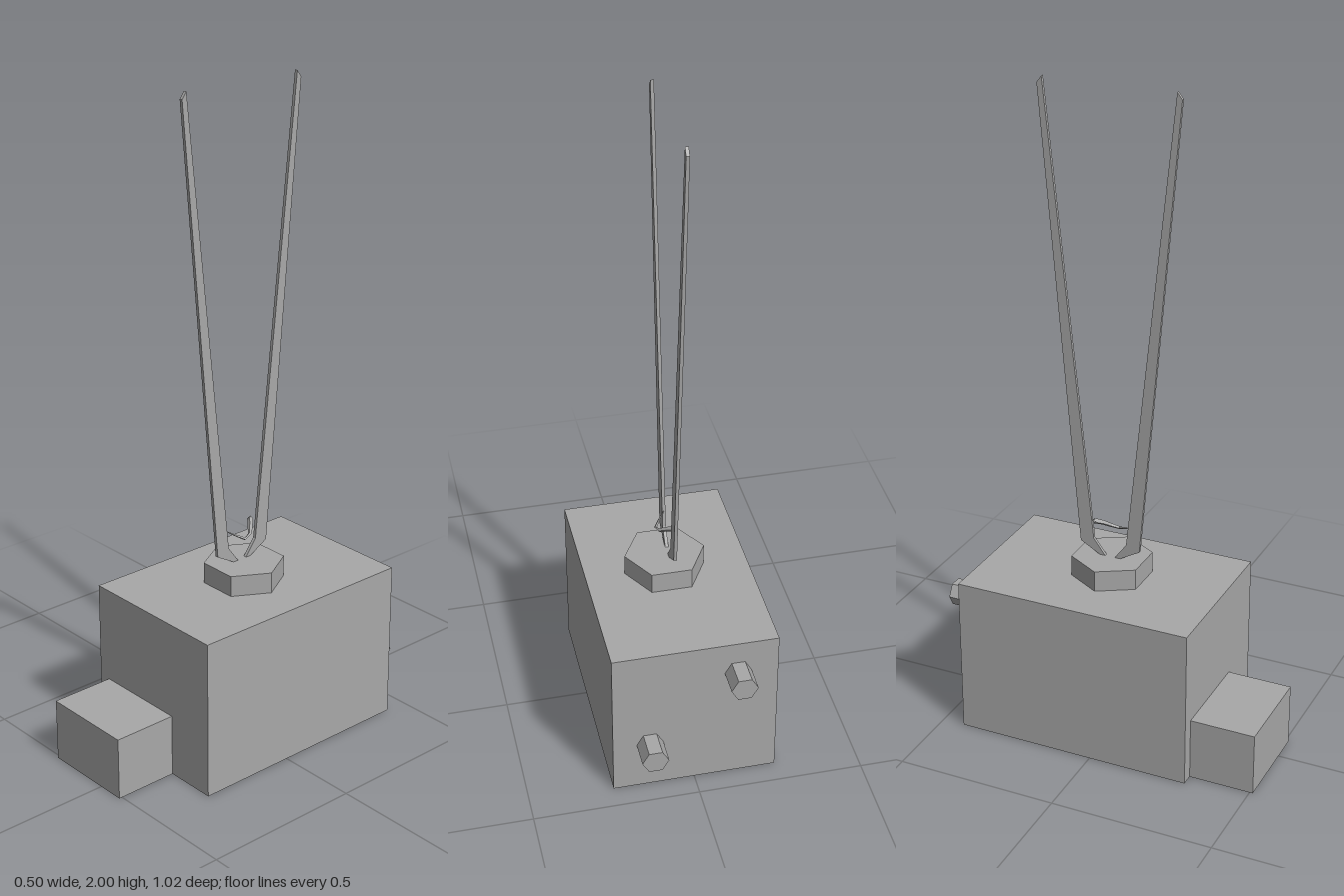
import * as THREE from 'three';

export function createModel() {
  const model = new THREE.Group();
  const grey = new THREE.MeshStandardMaterial({ color: 0xa8a8a8, flatShading: true });
  grey.name = 'plain grey';

  const add = (name, geometry, x = 0, y = 0, z = 0) => {
    const mesh = new THREE.Mesh(geometry, grey);
    mesh.name = name;
    mesh.position.set(x, y, z);
    model.add(mesh);
    return mesh;
  };

  // Main housing and the offset block on its front
  add('housing', new THREE.BoxGeometry(0.495, 0.495, 0.74), -0.001, 0.2475, -0.06);
  add('frontBlock', new THREE.BoxGeometry(0.295, 0.195, 0.2), -0.0625, 0.0975, 0.41);

  // Hexagonal socket, corners pointing along x
  const hexagon = (radius, length) =>
    new THREE.CylinderGeometry(radius, radius, length, 6).rotateY(Math.PI / 6);
  add('socket', hexagon(0.122, 0.065), 0.005, 0.5275, -0.043);

  // Two hexagonal pegs on the back, at different heights
  for (const [x, y] of [[-0.128, 0.39], [0.135, 0.16]]) {
    add('backPeg', hexagon(0.04, 0.08).rotateX(Math.PI / 2), x, y, -0.47);
  }

  // Two thin tapering prongs, mirrored about the socket; profile is [outward, height]
  const profile = [[0.012, 0.555], [0.034, 0.56], [0.096, 0.595], [0.217, 1.98], [0.202, 2], [0.053, 0.61]];
  for (const side of [1, -1]) {
    const shape = new THREE.Shape(profile.map(([out, y]) => new THREE.Vector2(-side * out, y)));
    const blade = new THREE.ExtrudeGeometry(shape, { depth: 0.01, bevelEnabled: false });
    blade.translate(0, 0, -0.005).rotateY(Math.PI / 2);
    add(side > 0 ? 'frontProng' : 'backProng', blade, -0.007, 0, -0.042);
  }

  // Small crooked spark bridging the prongs, tapering to a point at the front
  const path = new THREE.CatmullRomCurve3([
    [-0.006, 0.665, 0.015], [0.03, 0.64, -0.035], [0.002, 0.662, -0.07], [-0.018, 0.673, -0.088],
  ].map((p) => new THREE.Vector3(...p)));
  const steps = 5, sides = 4;
  const spark = new THREE.TubeGeometry(path, steps, 0.009, sides);
  const position = spark.attributes.position;
  const v = new THREE.Vector3();
  for (let i = 0; i < position.count; i++) {
    const t = Math.floor(i / (sides + 1)) / steps;
    v.fromBufferAttribute(position, i).lerp(path.getPointAt(t), 0.85 * (1 - t));
    position.setXYZ(i, v.x, v.y, v.z);
  }
  spark.computeVertexNormals();
  const sparkMesh = add('spark', spark);
  sparkMesh.material = grey;
  // Cap the blunt end of the spark
  add('sparkEnd', new THREE.OctahedronGeometry(0.009), -0.018, 0.673, -0.088);

  return model;
}
